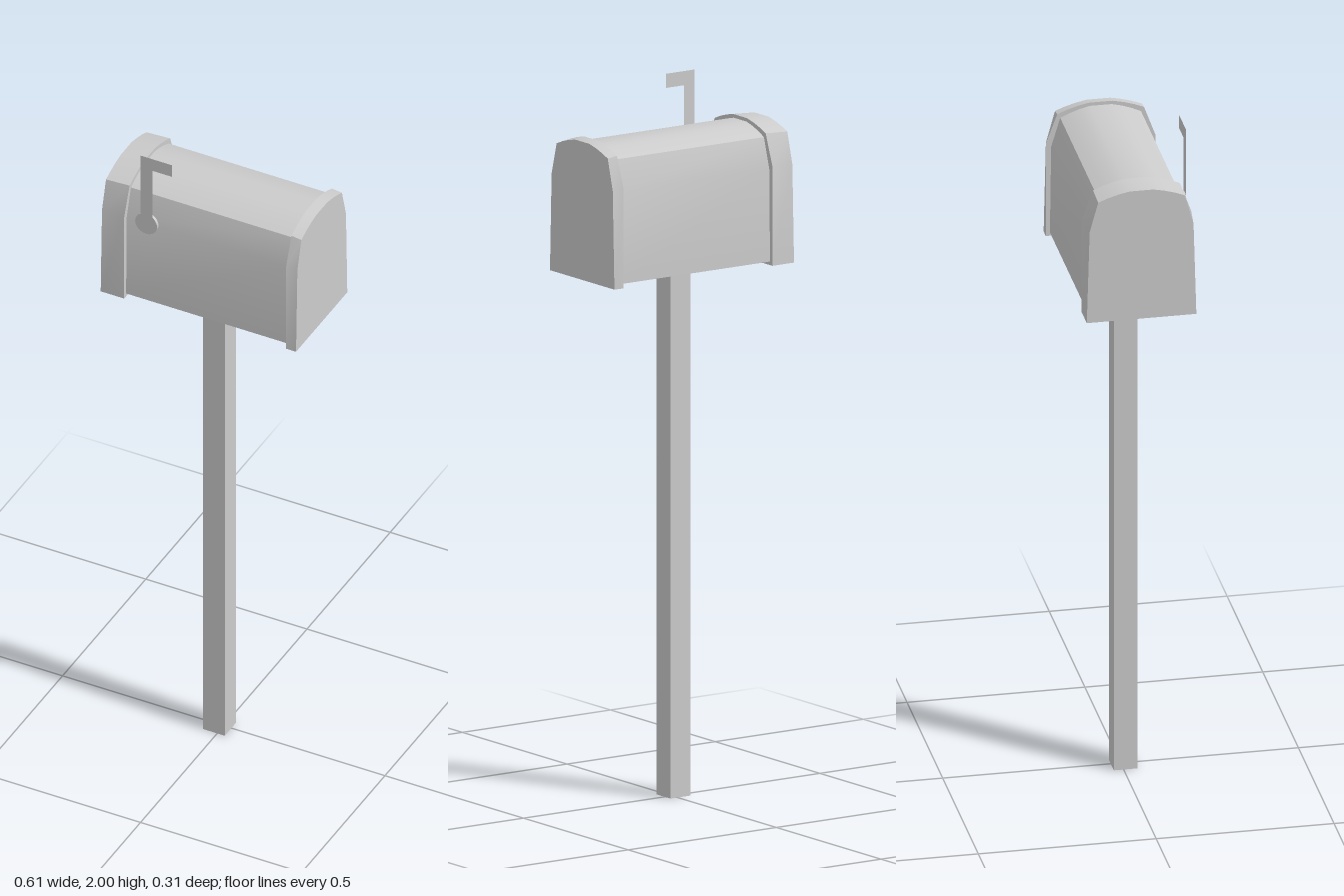
import * as THREE from 'three';
import { toCreasedNormals } from 'three/addons/utils/BufferGeometryUtils.js';

const Z0 = -0.0015; // slight depth offset of the box
const grey = new THREE.MeshStandardMaterial({ color: 0xcccccc });
const thin = new THREE.MeshStandardMaterial({ color: 0xcccccc, side: THREE.DoubleSide });

// Arched cross-section as [z, y], from the back bottom over the roof to the front bottom
function arch(halfBase, bottom, halfKnee, knee, halfShoulder, shoulder, top) {
  const rise = top - shoulder;
  const half = [
    [halfBase, bottom], [halfKnee, knee], [halfShoulder, shoulder],
    [halfShoulder * 0.78, shoulder + rise * 0.4],
    [halfShoulder * 0.53, shoulder + rise * 0.75],
    [halfShoulder * 0.27, top],
  ];
  return [...half.map(([z, y]) => [Z0 - z, y]), ...half.reverse().map(([z, y]) => [Z0 + z, y])];
}

// Closed solid between two cross-sections at x0 < x1
function loft(x0, a, x1, b) {
  const pos = [];
  const n = a.length;
  const A = i => [x0, a[i % n][1], a[i % n][0]];
  const B = i => [x1, b[i % n][1], b[i % n][0]];
  const tri = (...points) => points.forEach(p => pos.push(...p));
  for (let i = 0; i < n; i++) {
    tri(A(i), A(i + 1), B(i));
    tri(A(i + 1), B(i + 1), B(i));
    if (i > 0 && i < n - 1) {
      tri(B(0), B(i), B(i + 1));
      tri(A(0), A(i + 1), A(i));
    }
  }
  const geometry = new THREE.BufferGeometry();
  geometry.setAttribute('position', new THREE.Float32BufferAttribute(pos, 3));
  return toCreasedNormals(geometry, 0.65);
}

export function createModel() {
  const model = new THREE.Group();
  model.name = 'mailbox';
  const add = (name, geometry, material = grey) => {
    const mesh = new THREE.Mesh(geometry, material);
    mesh.name = name;
    model.add(mesh);
    return mesh;
  };

  // Square post
  add('post', new THREE.BoxGeometry(0.067, 1.504, 0.067)).position.set(-0.01, 0.752, 0.006);

  // Box body
  const body = arch(0.1425, 1.504, 0.139, 1.765, 0.1135, 1.85, 1.879);
  add('body', loft(-0.24, body, 0.28, body));

  // Door and back cap, tapering towards their outer ends
  const inner = arch(0.154, 1.494, 0.154, 1.775, 0.122, 1.862, 1.889);
  const outer = arch(0.154, 1.494, 0.146, 1.77, 0.122, 1.858, 1.884);
  add('door', loft(-0.303, outer, -0.23, inner));
  add('backCap', loft(0.272, inner, 0.303, outer));

  // Signal flag: round pivot and thin L-shaped arm
  const pivot = add('flagPivot', new THREE.CylinderGeometry(0.034, 0.034, 0.009, 24));
  pivot.rotation.x = Math.PI / 2;
  pivot.position.set(-0.165, 1.77, 0.1425);

  const arm = new THREE.Shape([
    [-0.182, 1.77], [-0.145, 1.77], [-0.145, 1.96], [-0.085, 1.96], [-0.085, 2], [-0.182, 2],
  ].map(([x, y]) => new THREE.Vector2(x, y)));
  add('flagArm', new THREE.ShapeGeometry(arm), thin).position.z = 0.1475;

  return model;
}
